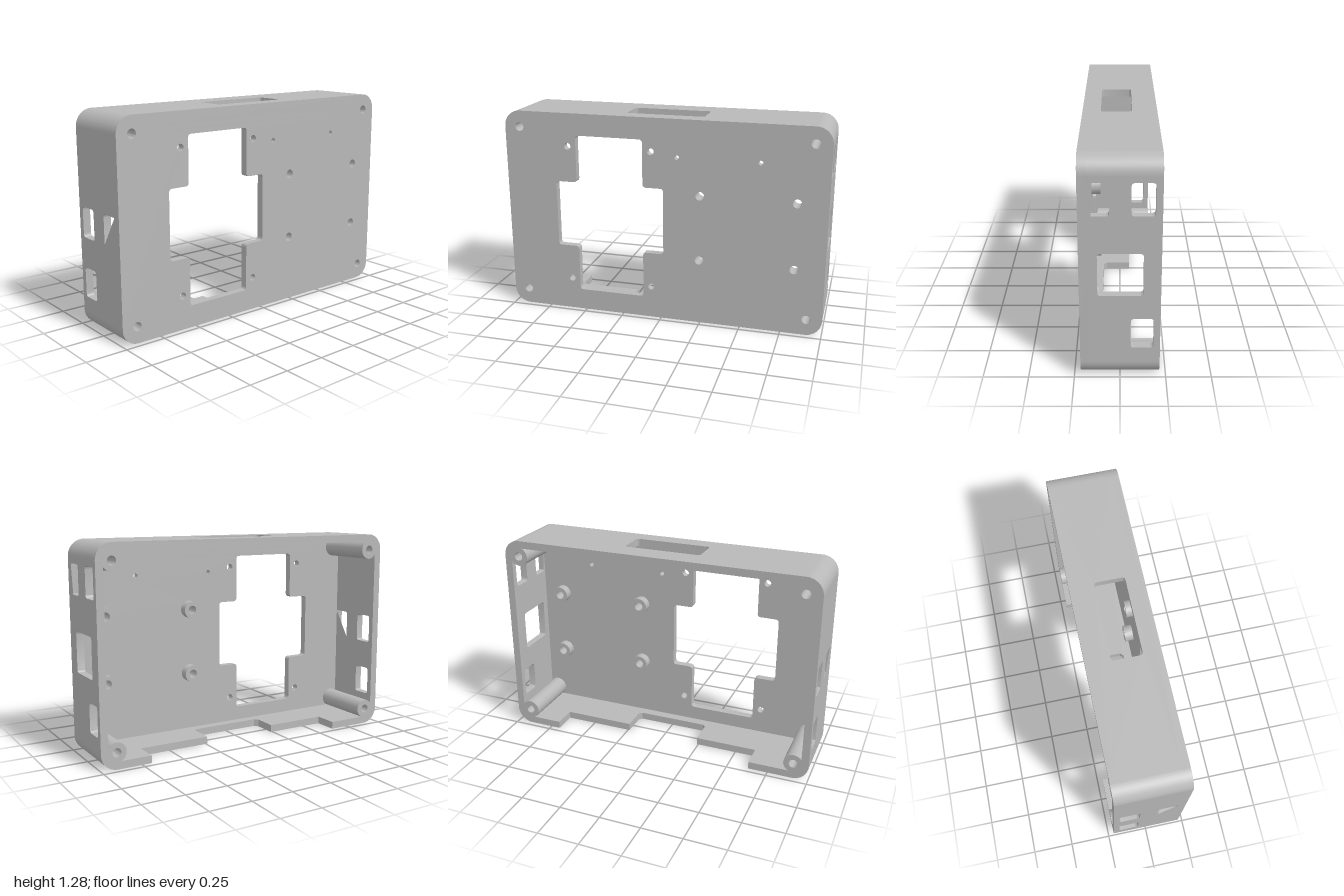
import * as THREE from 'three';
import { toCreasedNormals } from 'three/addons/utils/BufferGeometryUtils.js';

const X = 0.215, H = 1.28, R = 0.1, T = 0.046; // half depth, height, corner radius, wall
const IN = X - T; // inner face of the plate

// Closed path through points with every corner rounded
function rounded(points, r, PathType = THREE.Path) {
  const p = points.map(([a, b]) => new THREE.Vector2(a, b));
  const path = new PathType();
  p.forEach((c, i) => {
    const prev = p[(i + p.length - 1) % p.length], next = p[(i + 1) % p.length];
    const a = c.clone().add(prev.clone().sub(c).setLength(r));
    const b = c.clone().add(next.clone().sub(c).setLength(r));
    if (i === 0) path.moveTo(a.x, a.y); else path.lineTo(a.x, a.y);
    path.quadraticCurveTo(c.x, c.y, b.x, b.y);
  });
  path.closePath();
  return path;
}
const corners = (a0, a1, b0, b1) => [[a0, b0], [a1, b0], [a1, b1], [a0, b1]];
const rectHole = (a0, a1, b0, b1, r = 0.02) => rounded(corners(a0, a1, b0, b1), r);
const circle = (a, b, r) => new THREE.Path().absarc(a, b, r, 0, Math.PI * 2, false);
const polygon = (pts) => new THREE.Shape(pts.map(([a, b]) => new THREE.Vector2(a, b)));

function extrude(shape, depth) {
  const g = new THREE.ExtrudeGeometry(shape, { depth, bevelEnabled: false, curveSegments: 14 });
  return toCreasedNormals(g, 0.6);
}
// Shape drawn in (-z, y), extruded along x from x0 to x1
const alongX = (shape, x0, x1) => extrude(shape, x1 - x0).rotateY(Math.PI / 2).translate(x0, 0, 0);
// Shape drawn in (x, -z), extruded upwards from y0
const alongY = (shape, y0) => extrude(shape, T).rotateX(-Math.PI / 2).translate(0, y0, 0);

export function createModel() {
  const model = new THREE.Group();
  const grey = new THREE.MeshStandardMaterial({ color: 0xb8b8b8 });
  grey.name = 'grey plastic';
  const add = (name, geometry) => {
    const mesh = new THREE.Mesh(geometry, grey);
    mesh.name = name;
    model.add(mesh);
  };

  // Side plate with cross-shaped opening and screw holes
  const e = 1 - R;
  const plate = new THREE.Shape();
  plate.absarc(e, R, R, -Math.PI / 2, 0, false);
  plate.absarc(e, H - R, R, 0, Math.PI / 2, false);
  plate.absarc(-e, H - R, R, Math.PI / 2, Math.PI, false);
  plate.absarc(-e, R, R, Math.PI, Math.PI * 1.5, false);
  plate.closePath();
  plate.holes.push(rounded([
    [-0.54, 0.135], [-0.115, 0.135], [-0.115, 0.43], [0.015, 0.43], [0.015, 0.85], [-0.115, 0.85],
    [-0.115, 1.145], [-0.54, 1.145], [-0.54, 0.85], [-0.675, 0.85], [-0.675, 0.43], [-0.54, 0.43],
  ], 0.022));
  const bossSpots = [], standoffSpots = [];
  for (const y of [0.1, 1.18]) for (const u of [-0.905, 0.905]) bossSpots.push([u, y]);
  for (const y of [0.413, 0.823]) for (const u of [0.24, 0.818]) standoffSpots.push([u, y]);
  for (const [u, y] of [...bossSpots, ...standoffSpots]) plate.holes.push(circle(u, y, 0.027));
  for (const y of [0.207, 1.075]) for (const u of [-0.593, -0.063]) plate.holes.push(circle(u, y, 0.021));
  for (const u of [0.098, 0.598]) plate.holes.push(circle(u, 1.05, 0.014));
  add('sidePlate', alongX(plate, IN, X));

  // Rounded corners of the rim
  [[e, R, -0.5], [e, H - R, 0], [-e, H - R, 0.5], [-e, R, 1]].forEach(([u, y, start]) => {
    const a = start * Math.PI, b = a + Math.PI / 2;
    const s = new THREE.Shape();
    s.absarc(u, y, R, a, b, false);
    s.absarc(u, y, R - T, b, a, true);
    s.closePath();
    add('rimCorner', alongX(s, -X, IN));
  });

  // Front and back walls with port openings
  const front = polygon(corners(-X, IN, R, H - R));
  front.holes.push(
    rectHole(-0.18, -0.057, 0.55, 0.73),
    rectHole(0.054, 0.177, 0.55, 0.73),
    rectHole(-0.18, -0.057, 0.19, 0.37));
  add('frontWall', extrude(front, T).translate(0, 0, 1 - T));

  const back = polygon(corners(-X, IN, R, H - R));
  back.holes.push(
    rectHole(-0.18, -0.057, 0.965, 1.145),
    rectHole(0.054, 0.177, 0.965, 1.145),
    rectHole(-0.123, 0.12, 0.51, 0.755),
    rectHole(-0.18, -0.057, 0.19, 0.37));
  add('backWall', extrude(back, T).translate(0, 0, -1));

  // Top wall with a slot
  const top = polygon(corners(-X, IN, -e, e));
  top.holes.push(rectHole(-0.07, 0.11, -0.24, 0.24));
  add('topWall', alongY(top, H - T));

  // Bottom wall cut back from the open side, with a deeper notch
  add('bottomWall', alongY(polygon([
    [-X, -e], [IN, -e], [IN, e], [-X, e], [-X, 0.69], [-0.065, 0.69], [-0.065, 0.24],
    [0.09, 0.24], [0.11, 0.22], [0.11, -0.22], [0.09, -0.24], [-0.065, -0.24],
    [-0.065, -0.63], [-X, -0.63],
  ]), 0));

  // Hollow screw posts: long in the corners, short on the plate
  const post = (name, [u, y], r, x0) => {
    const s = new THREE.Shape().absarc(u, y, r, 0, Math.PI * 2, false);
    s.holes.push(circle(u, y, 0.027));
    add(name, alongX(s, x0, IN));
  };
  bossSpots.forEach((p) => post('cornerPost', p, 0.06, -X));
  standoffSpots.forEach((p) => post('standoff', p, 0.053, 0.115));

  return model;
}
